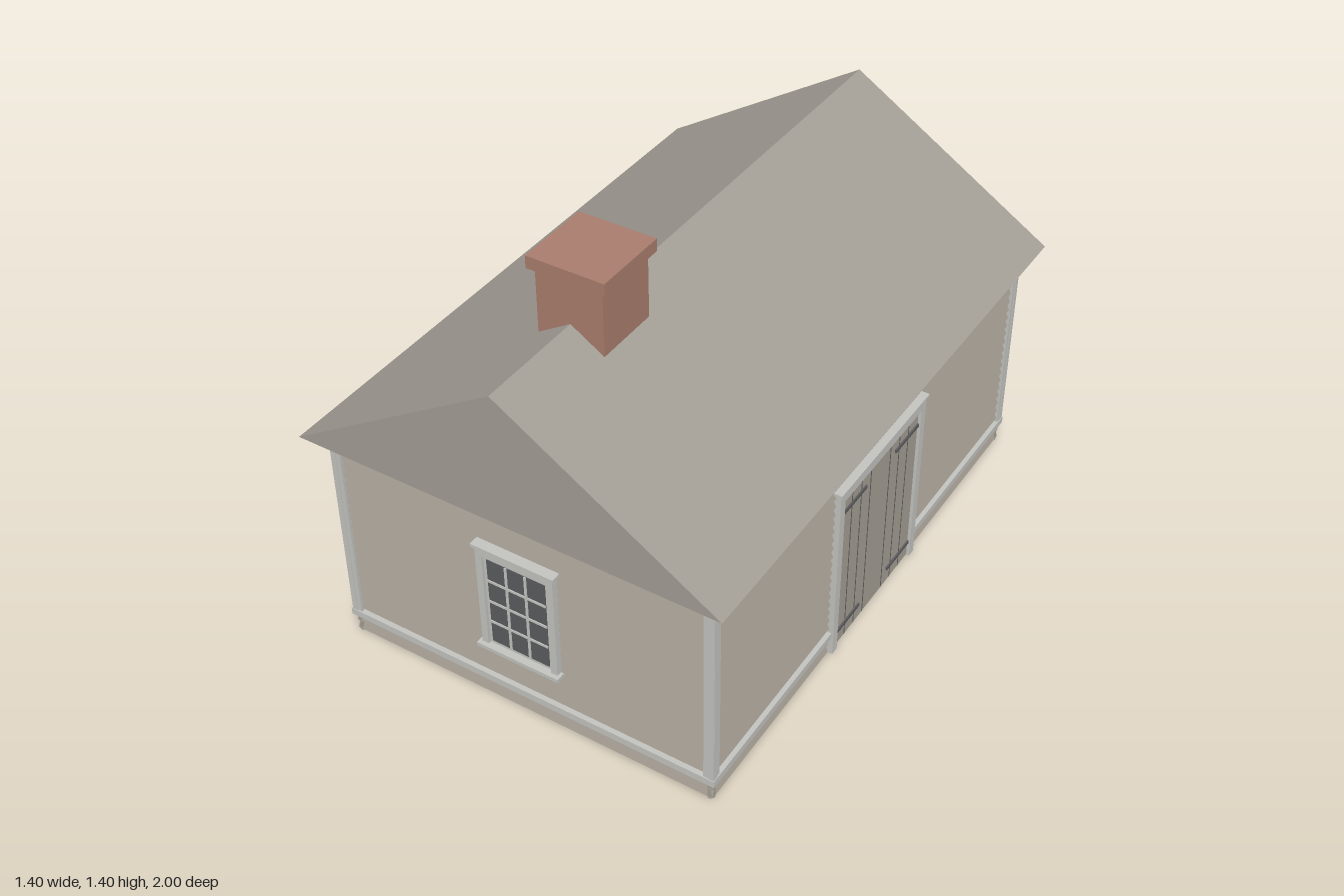
import * as THREE from 'three';

const mat = (name, color, side = THREE.FrontSide) => {
  const m = new THREE.MeshStandardMaterial({ color, side });
  m.name = name;
  return m;
};

export function createModel() {
  const root = new THREE.Group();
  root.name = 'cottage';
  const siding = mat('siding', 0xa39c92);
  const roofing = mat('roofing', 0xa39e95);
  const trim = mat('trim', 0xc2c2bf);
  const brick = mat('brick', 0xa87c6c);
  const glass = mat('glass', 0x5a5b5c);
  const red = mat('doorRed', 0x80322c);
  const iron = mat('iron', 0x5c5c5e);

  const add = (parent, name, geometry, material) => {
    const mesh = new THREE.Mesh(geometry, material);
    mesh.name = name;
    parent.add(mesh);
    return mesh;
  };
  // Box given by its limits on each axis
  const box = (parent, name, material, x0, x1, y0, y1, z0, z1) => {
    const mesh = add(parent, name, new THREE.BoxGeometry(x1 - x0, y1 - y0, z1 - z0), material);
    mesh.position.set((x0 + x1) / 2, (y0 + y1) / 2, (z0 + z1) / 2);
    return mesh;
  };
  const group = (parent, name) => {
    const g = new THREE.Group();
    g.name = name;
    parent.add(g);
    return g;
  };
  const rect = (Type, x, z) => new Type([[-x, -z], [x, -z], [x, z], [-x, z]].map(p => new THREE.Vector2(...p)));

  // Hollow wall shell, open underneath
  const EAVE = 0.78, WX = 0.625, WZ = 0.925;
  const shellShape = rect(THREE.Shape, WX, WZ);
  shellShape.holes.push(rect(THREE.Path, WX - 0.01, WZ - 0.01));
  const shell = new THREE.ExtrudeGeometry(shellShape, { depth: EAVE, bevelEnabled: false });
  shell.rotateX(-Math.PI / 2);
  add(root, 'wallShell', shell, siding);

  // Gable roof
  const gable = new THREE.Shape([[-0.7, EAVE], [0.7, EAVE], [0, 1.22]].map(p => new THREE.Vector2(...p)));
  const roof = new THREE.ExtrudeGeometry(gable, { depth: 2, bevelEnabled: false });
  roof.translate(0, 0, -1);
  add(root, 'roof', roof, roofing);

  // Chimney, running down through the ceiling
  const chimney = group(root, 'chimney');
  box(chimney, 'chimneyStack', brick, -0.108, 0.108, 0.63, 1.37, 0.417, 0.635);
  box(chimney, 'chimneyCap', brick, -0.126, 0.126, 1.365, 1.405, 0.4, 0.651);

  // Clapboards: a sawtooth profile swept along the wall
  const clapboards = half => {
    const pitch = 0.0325;
    const pts = [new THREE.Vector2(-0.004, 0)];
    for (let i = 0; i < 24; i++) {
      pts.push(new THREE.Vector2(0.002, i * pitch), new THREE.Vector2(0.013, i * pitch + 0.007));
    }
    pts.push(new THREE.Vector2(0.003, EAVE), new THREE.Vector2(-0.004, EAVE));
    const g = new THREE.ExtrudeGeometry(new THREE.Shape(pts), { depth: half * 2, bevelEnabled: false });
    g.translate(0, 0, -half);
    return g.rotateY(-Math.PI / 2);
  };

  // A wall frame: x along the wall, y up, z outward
  const makeWall = (name, angle, distance, half) => {
    const w = group(root, name);
    w.rotation.y = angle;
    w.position.set(Math.sin(angle) * distance, 0, Math.cos(angle) * distance);
    add(w, 'clapboards', clapboards(half + 0.012), siding);
    const end = half + 0.02;
    box(w, 'frieze', trim, -end, end, 0.72, EAVE, 0, 0.02);
    for (const s of [-1, 1]) {
      const a = s * end, b = s * (half - 0.015);
      box(w, 'cornerBoard', trim, Math.min(a, b), Math.max(a, b), 0.066, 0.72, 0, 0.018);
    }
    return w;
  };
  const waterTable = (w, x0, x1) => box(w, 'waterTable', trim, x0, x1, 0.066, 0.09, 0, 0.022);

  // Glazing with a grid of bars
  const glazing = (parent, x0, x1, y0, y1, z, cols, rows, barMat) => {
    const t = 0.004;
    box(parent, 'panes', glass, x0, x1, y0, y1, z, z + 0.003);
    for (let i = 1; i < cols; i++) {
      const x = x0 + (x1 - x0) * i / cols;
      box(parent, 'uprightBar', barMat, x - t, x + t, y0, y1, z, z + 0.006);
    }
    for (let j = 1; j < rows; j++) {
      const y = y0 + (y1 - y0) * j / rows;
      box(parent, 'crossBar', barMat, x0, x1, y - t, y + t, z, z + 0.006);
    }
  };

  // Sash window with casing, cap and sill
  const sashWindow = w => {
    const g = group(w, 'sashWindow');
    box(g, 'sash', trim, -0.112, 0.112, 0.233, 0.576, 0, 0.02);
    glazing(g, -0.1, 0.1, 0.245, 0.562, 0.019, 3, 4, trim);
    box(g, 'casingLeft', trim, -0.132, -0.11, 0.233, 0.605, 0, 0.03);
    box(g, 'casingRight', trim, 0.11, 0.132, 0.233, 0.605, 0, 0.03);
    box(g, 'casingHead', trim, -0.11, 0.11, 0.575, 0.605, 0, 0.03);
    box(g, 'windowCap', trim, -0.14, 0.14, 0.604, 0.615, 0, 0.038);
    box(g, 'windowSill', trim, -0.142, 0.142, 0.221, 0.234, 0, 0.044);
  };

  const front = makeWall('frontWall', 0, WZ, WX);
  waterTable(front, -0.647, 0.647);
  sashWindow(front);

  const side = makeWall('windowSideWall', -Math.PI / 2, WX, WZ);
  waterTable(side, -0.947, 0.947);
  sashWindow(side);

  // Plank double door on the other side wall
  const doorSide = makeWall('barnDoorWall', Math.PI / 2, WX, WZ);
  waterTable(doorSide, -0.947, -0.26);
  waterTable(doorSide, 0.26, 0.947);
  const barn = group(doorSide, 'barnDoor');
  box(barn, 'doorPlanks', siding, -0.245, 0.245, 0.008, 0.602, 0, 0.018);
  box(barn, 'doorHead', trim, -0.27, 0.27, 0.6, 0.637, 0, 0.028);
  box(barn, 'doorCap', trim, -0.276, 0.276, 0.635, 0.645, 0, 0.034);
  for (const s of [-1, 1]) {
    const span = (a, b) => (s > 0 ? [a, b] : [-b, -a]);
    box(barn, 'doorJamb', trim, ...span(0.241, 0.27), 0.005, 0.6, 0, 0.028);
    for (const x of [0.062, 0.12, 0.178]) {
      box(barn, 'plankGap', iron, ...span(x - 0.002, x + 0.002), 0.008, 0.6, 0.017, 0.0188);
    }
    for (const y of [0.063, 0.543]) {
      box(barn, 'strapHinge', iron, ...span(0.092, 0.241), y - 0.006, y + 0.006, 0.017, 0.023);
    }
  }

  // Shopfront on the back wall
  const back = makeWall('backWall', Math.PI, WZ, WX);
  waterTable(back, -0.647, -0.42);
  waterTable(back, 0.42, 0.647);
  const shop = group(back, 'shopfront');
  box(shop, 'shopPanel', trim, -0.42, 0.42, 0, 0.68, 0, 0.018);
  for (const [a, b] of [[-0.43, -0.385], [-0.115, -0.085], [0.395, 0.43]]) {
    box(shop, 'shopPost', trim, a, b, 0, 0.66, 0, 0.026);
  }
  box(shop, 'shopHeader', trim, -0.43, 0.43, 0.625, 0.675, 0, 0.027);
  box(shop, 'shopCornice', trim, -0.445, 0.445, 0.67, 0.69, 0, 0.042);
  box(shop, 'shopSill', trim, -0.085, 0.395, 0.222, 0.238, 0, 0.034);
  glazing(shop, -0.07, 0.38, 0.245, 0.605, 0.017, 7, 5, trim);
  glazing(shop, -0.37, -0.13, 0.485, 0.535, 0.017, 5, 1, trim);
  box(shop, 'transomRail', trim, -0.385, -0.115, 0.462, 0.476, 0, 0.026);
  box(shop, 'redDoor', red, -0.375, -0.125, 0.008, 0.462, 0, 0.021);
  glazing(shop, -0.352, -0.148, 0.235, 0.44, 0.02, 3, 3, red);

  return root;
}
